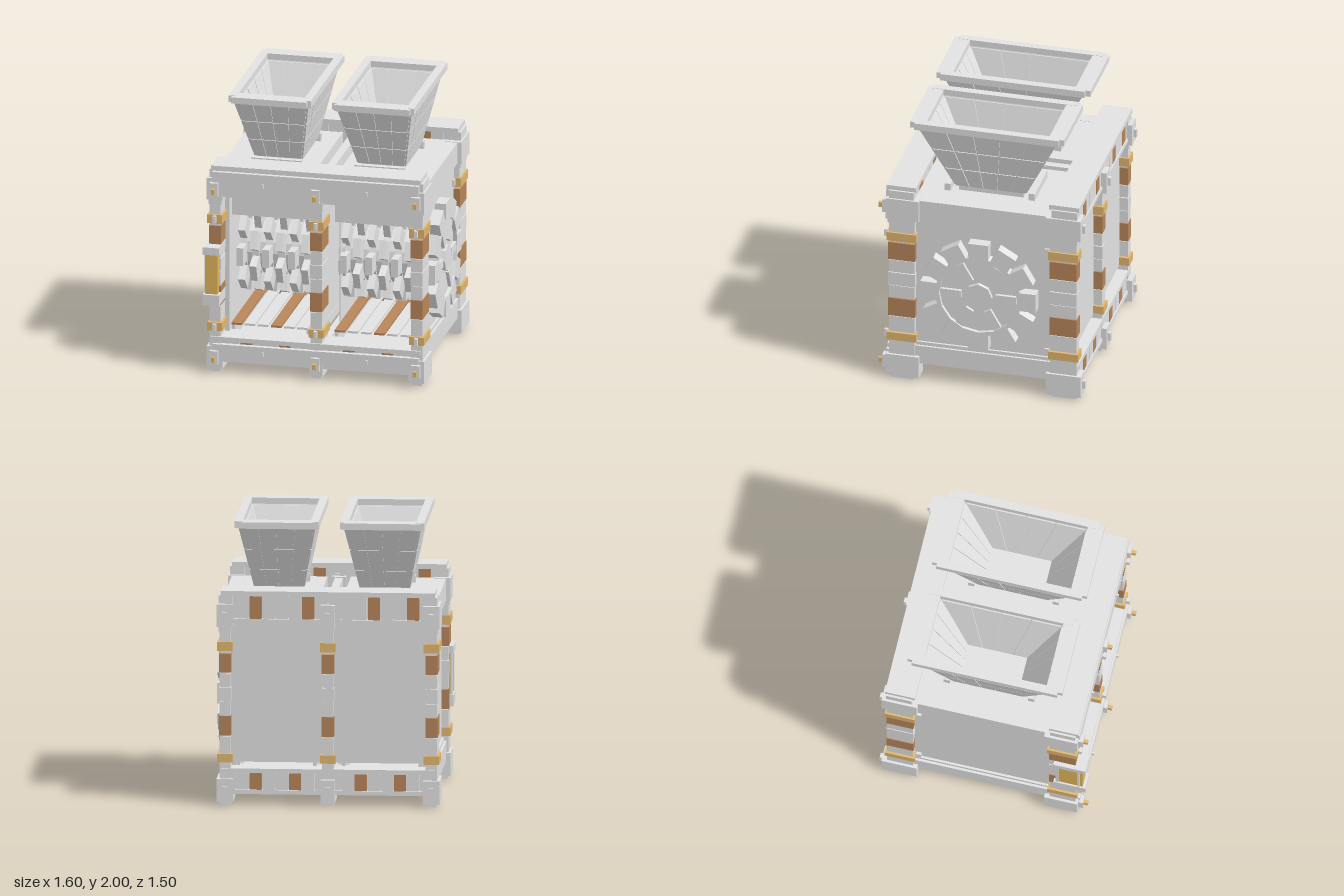
import * as THREE from 'three';
import { ConvexGeometry } from 'three/addons/geometries/ConvexGeometry.js';

const mat = (name, color) => Object.assign(new THREE.MeshStandardMaterial({ color }), { name });

export function createModel() {
  const grey = mat('grey metal', 0xe3e3e3);
  const brown = mat('rusty brown', 0xb9875b);
  const gold = mat('brass', 0xe2b870);
  const amber = mat('amber panel', 0xe3b95f);
  const model = new THREE.Group();
  model.name = 'twinGrinder';

  const add = (parent, name, geometry, material) => {
    const m = new THREE.Mesh(geometry, material);
    m.name = name;
    parent.add(m);
    return m;
  };
  // Box from its extents
  const box = (parent, name, material, x0, x1, y0, y1, z0, z1) => {
    const g = new THREE.BoxGeometry(x1 - x0, y1 - y0, z1 - z0);
    g.translate((x0 + x1) / 2, (y0 + y1) / 2, (z0 + z1) / 2);
    return add(parent, name, g, material);
  };
  const group = (name) => {
    const g = new THREE.Group();
    g.name = name;
    model.add(g);
    return g;
  };

  // Six banded posts: three in front, three behind
  const bands = [
    [0.19, 0.305, 0, grey], [0.305, 0.365, 0.014, gold], [0.37, 0.49, 0, grey],
    [0.495, 0.635, 0.003, brown], [0.64, 0.735, 0, grey], [0.74, 0.84, 0.003, grey],
    [0.845, 0.94, 0, grey], [0.945, 1.08, 0.003, brown], [1.085, 1.1, 0, grey],
    [1.1, 1.165, 0.014, gold], [1.165, 1.24, 0, grey], [1.24, 1.28, 0.006, grey],
  ];
  for (const x of [-0.73, 0, 0.725]) for (const front of [true, false]) {
    const post = group('post');
    const [z0, z1] = front ? [0.485, 0.672] : [-0.69, -0.5];
    box(post, 'postCore', grey, x - 0.032, x + 0.032, 0.1, 1.45, z0 + 0.008, z1 - 0.008);
    for (const [y0, y1, e, m] of bands)
      box(post, 'postBand', m, x - 0.04 - e, x + 0.04 + e, y0, y1, z0 - e, z1 + e);
    // Foot and corner blocks
    const w = x === 0 ? 0.05 : 0.058;
    box(post, 'foot', grey, x - 0.036, x + 0.036, 0, 0.025, z0 + 0.005, z1 - 0.01);
    const [b0, b1] = front ? [0.45, 0.69] : [-0.725, -0.47];
    box(post, 'footBlock', grey, x - w, x + w, 0.025, 0.19, b0, b1);
    box(post, 'topBlock', grey, x - w, x + w, 1.275, 1.437, b0, b1);
    // Clamps and pins
    const s = front ? 1 : -1;
    const plate = (name, m, hw, y0, y1, a, b) =>
      box(post, name, m, x - hw, x + hw, y0, y1, Math.min(a, b), Math.max(a, b));
    for (const y of [0.11, 1.355]) {
      plate('clamp', grey, 0.03, y - 0.045, y + 0.055, s * 0.68, s * 0.724);
      if (front) plate('pin', gold, 0.012, y - 0.02, y + 0.018, 0.72, 0.755);
      else plate('clampPlate', grey, 0.018, y - 0.03, y + 0.03, -0.747, -0.72);
      if (x === 0) {
        plate('innerClamp', grey, 0.03, y - 0.035, y + 0.035, s * 0.445, s * 0.48);
        plate('innerPin', gold, 0.008, y - 0.018, y + 0.018, s * 0.418, s * 0.45);
      }
    }
    for (const y of [0.335, 1.135]) {
      if (front) plate('bandKnob', grey, 0.012, y - 0.025, y + 0.025, 0.68, 0.712);
      else plate('bandKnob', grey, 0.012, y - 0.025, y + 0.025, -0.49, -0.45);
    }
  }

  // Brick beams along the front and back, top and bottom
  const brickBeam = (name, y0, y1, z0, z1, browns) => {
    const beam = group(name);
    box(beam, 'beamCore', grey, -0.74, 0.74, y0 + 0.006, y1 - 0.006, z0 + 0.008, z1 - 0.008);
    const n = 16, w = 1.48 / n;
    for (let i = 0; i < n; i++) {
      const x = -0.74 + w * i;
      const isBrown = browns.some((b) => Math.abs(b - x - w / 2) <= w / 2);
      box(beam, 'brick', isBrown ? brown : grey, x + 0.004, x + w - 0.004, y0, y1, z0, z1);
    }
    return beam;
  };
  const topBrowns = [-0.6, -0.33, 0.16, 0.51], lowBrowns = [-0.53, -0.23, 0.25, 0.52];
  for (const [z0, z1] of [[0.5, 0.66], [-0.685, -0.52]]) {
    const top = brickBeam('topBeam', 1.33, 1.495, z0, z1, topBrowns);
    box(top, 'beamCap', grey, -0.755, 0.755, 1.495, 1.53, z0 - 0.022, z1 + 0.03);
    box(top, 'beamSill', grey, -0.745, 0.745, 1.3, 1.33, z0 - 0.01, z1 + 0.02);
    for (const x of [-0.72, 0.72])
      box(top, 'beamEnd', grey, x - 0.05, x + 0.05, 1.437, 1.497, z0 - 0.01, z1 + 0.01);
    const low = brickBeam('bottomBeam', 0.11, 0.23, z0, z1, lowBrowns);
    box(low, 'beamCap', grey, -0.755, 0.755, 0.23, 0.262, z0 - 0.01, z1 + 0.025);
    box(low, 'beamSill', grey, -0.745, 0.745, 0.08, 0.11, z0 - 0.01, z1 + 0.025);
  }
  // Planks covering the front beams, with studs
  for (const [y0, y1] of [[1.325, 1.487], [0.11, 0.21]]) {
    box(model, 'frontPlank', grey, -0.745, 0.745, y0, y1, 0.662, 0.698);
    for (const x of [-0.38, 0.37])
      box(model, 'stud', grey, x - 0.007, x + 0.007, (y0 + y1) / 2 - 0.015, (y0 + y1) / 2 + 0.015, 0.695, 0.715);
  }

  // Side walls and rails, central rails, back wall
  for (const s of [-1, 1]) {
    const side = (name, a, b, y0, y1, z0, z1) =>
      box(model, name, grey, Math.min(s * a, s * b), Math.max(s * a, s * b), y0, y1, z0, z1);
    side('sideWall', 0.658, 0.722, 0.2, 1.3, -0.55, 0.54);
    side('sideTopRail', 0.66, 0.755, 1.28, 1.434, -0.5, 0.49);
    side('sideBottomRail', 0.66, 0.755, 0.13, 0.27, -0.5, 0.49);
    side('sideLedge', 0.66, 0.738, 0.27, 0.295, -0.49, 0.48);
    side('chamberInnerWall', 0.08, 0.09, 0.3, 1.1, -0.6, 0.3);
  }
  box(model, 'centreTopRail', grey, -0.028, 0.028, 1.28, 1.43, -0.5, 0.48);
  box(model, 'centreBottomRail', grey, -0.028, 0.028, 0.13, 0.2, -0.5, 0.48);
  box(model, 'backWall', grey, -0.69, 0.69, 0.3, 1.31, -0.63, -0.6);

  // Toothed outline, optionally hollow, extruded along x
  const toothed = (n, rootR, tipR, rootFill, tipFill, depth, turn = 0, holeR = 0) => {
    const shape = new THREE.Shape();
    for (let i = 0; i < n; i++) {
      const a = turn + (i / n) * Math.PI * 2, h = Math.PI / n;
      [[rootR, -rootFill], [tipR, -tipFill], [tipR, tipFill], [rootR, rootFill]].forEach(([r, f], k) => {
        const p = [r * Math.cos(a + h * f), r * Math.sin(a + h * f)];
        if (i + k === 0) shape.moveTo(...p); else shape.lineTo(...p);
      });
    }
    shape.closePath();
    if (holeR) shape.holes.push(new THREE.Path().absarc(0, 0, holeR, 0, Math.PI * 2, true));
    return new THREE.ExtrudeGeometry(shape, { depth, bevelEnabled: false, curveSegments: 8 }).rotateY(Math.PI / 2);
  };
  // Faceted disc lying along x
  const disc = (r, length, sides) => {
    const g = new THREE.CylinderGeometry(r, r, length, sides).toNonIndexed().rotateZ(Math.PI / 2);
    g.computeVertexNormals();
    return g;
  };
  const axisY = 0.745, axisZ = 0.015;

  // Drive gear on the right side
  const gear = group('driveGear');
  gear.position.set(0, axisY, axisZ);
  add(gear, 'gearTeeth', toothed(12, 0.31, 0.425, 0.88, 0.66, 0.085, 0, 0.285), grey).position.x = 0.715;
  add(gear, 'gearFace', disc(0.3, 0.055, 14), grey).position.x = 0.745;
  add(gear, 'gearHub', disc(0.1, 0.04, 8), grey).position.x = 0.78;
  for (let i = 0; i < 6; i++) {
    const spoke = box(gear, 'gearSpoke', grey, 0.76, 0.796, -0.03, 0.03, 0.125, 0.275);
    spoke.rotation.x = (i * Math.PI) / 3;
  }

  // Two chambers with roller, floor, deck and hopper
  for (const s of [-1, 1]) {
    const cx = s * 0.372;
    const roller = group('roller');
    roller.position.set(cx, axisY, axisZ);
    add(roller, 'drum', disc(0.2, 0.56, 16), grey);
    add(roller, 'endDisc', disc(0.25, 0.045, 16), grey).position.x = -s * 0.285;
    for (let i = 0; i < 6; i++)
      add(roller, 'cutterWheel', toothed(8, 0.215, 0.33, 0.78, 0.51, 0.05, (i % 2) * Math.PI / 8), grey)
        .position.x = -0.257 + i * 0.093 - 0.025;

    const chamber = group('chamber');
    chamber.position.x = cx;
    box(chamber, 'basePlate', grey, -0.285, 0.285, 0.13, 0.2, -0.55, 0.52);
    for (let i = 0; i < 6; i++)
      box(chamber, 'floorSlat', i % 3 ? grey : brown, -0.28 + i * 0.095, -0.205 + i * 0.095, 0.297, 0.312, -0.58, 0.5);
    for (const x of [-0.27, 0.27]) box(chamber, 'floorJoist', grey, x - 0.012, x + 0.012, 0.2, 0.297, -0.55, 0.48);
    box(chamber, 'feedBox', grey, -0.284, 0.284, 1.1, 1.3, -0.6, 0.46);
    box(chamber, 'deck', grey, -0.29, 0.29, 1.3, 1.432, -0.53, 0.49);
    for (const z of [-0.31, 0.3]) box(chamber, 'deckBar', grey, -0.18, 0.18, 1.432, 1.485, z - 0.023, z + 0.023);

    const hopper = group('hopper');
    hopper.position.set(cx, 0, -0.01);
    box(hopper, 'hopperNeck', grey, -0.15, 0.15, 1.43, 1.482, -0.235, 0.235);
    // Rim rails around the mouth
    for (const t of [-1, 1]) {
      const x = t * 0.267, z = t * 0.502;
      box(hopper, 'rimSide', grey, x - 0.029, x + 0.029, 1.95, 2, -0.525, 0.525);
      box(hopper, 'rimEnd', grey, -0.272, 0.272, 1.952, 1.998, z - 0.057, z + 0.057);
    }
    const top = 1.955, low = 1.475;
    const V = (x, y, z) => new THREE.Vector3(x, y, z);
    for (let k = 0; k < 4; k++) {
      const turn = V(0, 1, 0), angle = (k * Math.PI) / 2;
      const place = (p) => p.applyAxisAngle(turn, angle);
      const ends = k % 2 === 0; // short side: half width along x
      // Half widths and distances at bottom and top, outside and inside
      const outer = ends ? [0.165, 0.25, 0.262, 0.497] : [0.25, 0.165, 0.497, 0.262];
      const inner = ends ? [0.115, 0.215, 0.238, 0.445] : [0.215, 0.115, 0.445, 0.238];
      const at = ([w0, d0, w1, d1], u, v, off = 0) =>
        place(V(u * (w0 + (w1 - w0) * v), low + (top - low) * v, d0 + (d1 - d0) * v + off));
      const slab = (name, face, u0, u1, v0, v1, off) => {
        const pts = [];
        for (const u of [u0, u1]) for (const v of [v0, v1]) for (const o of [0, off]) pts.push(at(face, u, v, o));
        add(hopper, name, new ConvexGeometry(pts), grey);
      };
      const wall = [];
      for (const f of [outer, inner]) for (const u of [-1, 1]) for (const v of [0, 1]) wall.push(at(f, u, v));
      add(hopper, 'hopperWall', new ConvexGeometry(wall), grey);
      // Sheets outside, long slats inside
      const cols = ends ? 4 : 5, rows = [0, 0.31, 0.64, 1];
      for (let c = 0; c < cols; c++) {
        const u0 = -1 + (2 * c) / cols + 0.01, u1 = -1 + (2 * (c + 1)) / cols - 0.01;
        for (let r = 0; r < 3; r++) slab('hopperSheet', outer, u0, u1, rows[r] + 0.006, rows[r + 1] - 0.006, 0.01);
      }
      for (let c = 0; c < 4; c++) slab('hopperSlat', inner, -0.97 + c * 0.49, -0.5 + c * 0.49, 0.03, 0.985, -0.008);
    }
  }

  // Control box on the left front post
  const control = group('controlBox');
  box(control, 'controlPanel', amber, -0.79, -0.7, 0.585, 0.89, 0.54, 0.73);
  box(control, 'controlCap', grey, -0.802, -0.685, 0.885, 0.94, 0.52, 0.752);
  box(control, 'controlBase', grey, -0.802, -0.685, 0.51, 0.59, 0.52, 0.752);
  for (const z of [0.535, 0.69]) box(control, 'controlFrame', grey, -0.796, -0.78, 0.59, 0.885, z, z + 0.02);
  box(control, 'controlHandle', grey, -0.702, -0.688, 0.65, 0.75, 0.67, 0.688);

  return model;
}
